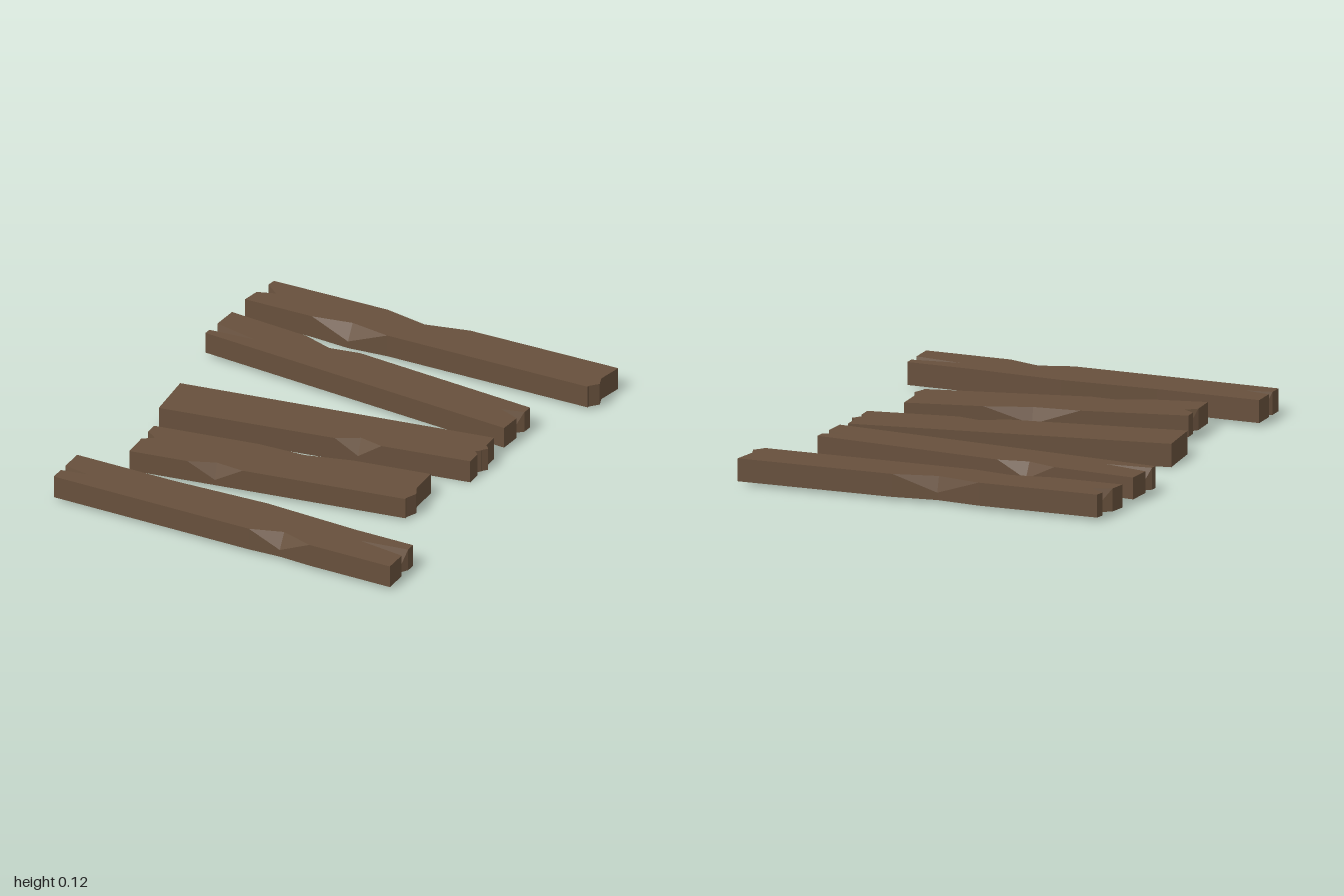
import * as THREE from 'three';

const wood = new THREE.MeshStandardMaterial({ color: 0x67503c });
wood.name = 'weathered brown wood';

// A break in a plank's edge: at = place along the edge and half = half its length (both 0 to 1),
// cut = how far the whole edge moves inward, reach = how far the chip runs on over the top face
const chip = (at, half, cut, reach) => ({ at, half, cut, reach });
const CHIP_DEPTH = 0.07;

// Walk round the four edges (back, right, front, left), adding three points for each break
function plankRings(corners, edges, bottom, top, slope) {
  const low = [], rim = [], high = [];
  const add = (p, inward, cut, reach) => {
    const side = p.clone().addScaledVector(inward, cut);
    const face = side.clone().addScaledVector(inward, reach);
    const at = (q, y) => new THREE.Vector3(q.x, y + slope * q.x, q.y);
    low.push(at(side, bottom));
    rim.push(at(side, reach > 0 ? top - CHIP_DEPTH : top));
    high.push(at(face, top));
  };
  edges.forEach((chips, i) => {
    const start = new THREE.Vector2(...corners[i]);
    const end = new THREE.Vector2(...corners[(i + 1) % 4]);
    const along = end.clone().sub(start).normalize();
    const inward = new THREE.Vector2(-along.y, along.x);
    const place = (t) => start.clone().lerp(end, t);
    add(start, inward, 0, 0);
    for (const { at, half, cut, reach } of chips) {
      add(place(at - half), inward, 0, 0);
      add(place(at), inward, cut, reach);
      add(place(at + half), inward, 0, 0);
    }
  });
  return { low, rim, high };
}

function plankGeometry({ low, rim, high }) {
  const positions = [];
  const triangle = (a, b, c) => {
    if (new THREE.Triangle(a, b, c).getArea() < 1e-8) return;
    for (const p of [a, b, c]) positions.push(p.x, p.y, p.z);
  };
  const band = (lower, upper) => lower.forEach((p, i) => {
    const j = (i + 1) % lower.length;
    triangle(p, upper[i], upper[j]);
    triangle(p, upper[j], lower[j]);
  });
  const cap = (ring, up) => {
    const flat = ring.map((p) => new THREE.Vector2(p.x, p.z));
    for (const [a, b, c] of THREE.ShapeUtils.triangulateShape(flat, [])) {
      const facesDown = THREE.ShapeUtils.area([flat[a], flat[b], flat[c]]) > 0;
      if (facesDown === up) triangle(ring[a], ring[c], ring[b]);
      else triangle(ring[a], ring[b], ring[c]);
    }
  };
  band(low, rim); // walls
  band(rim, high); // broken facets
  cap(high, true);
  cap(low, false);

  const geometry = new THREE.BufferGeometry();
  geometry.setAttribute('position', new THREE.Float32BufferAttribute(positions, 3));
  geometry.computeVertexNormals();
  return geometry;
}

export function createModel() {
  const group = new THREE.Group();
  group.name = 'woodenPlanks';

  const addPlank = (name, bottom, top, slope, corners, ...edges) => {
    const mesh = new THREE.Mesh(plankGeometry(plankRings(corners, edges, bottom, top, slope)), wood);
    mesh.name = name;
    group.add(mesh);
  };

  // Corners are [x, z]: back left, back right, front right, front left
  addPlank('backPlank', 0.015, 0.118, 0,
    [[-0.8, -1], [0.875, -0.995], [0.83, -0.79], [-0.84, -0.8]],
    [chip(0.45, 0.12, 0.022, 0.02)],
    [chip(0.75, 0.2, -0.025, 0)],
    [chip(0.695, 0.11, -0.015, 0.045)],
    [chip(0.6, 0.2, 0.045, 0.03)]);

  addPlank('secondPlank', 0.02, 0.118, 0,
    [[-0.84, -0.675], [0.69, -0.515], [0.67, -0.305], [-0.86, -0.46]],
    [chip(0.34, 0.09, 0, 0.035)],
    [chip(0.37, 0.15, 0.03, 0.07)],
    [],
    [chip(0.3, 0.15, 0.03, 0.18)]);

  addPlank('middlePlank', 0, 0.105, 0,
    [[-0.77, -0.04], [0.66, -0.23], [0.66, 0], [-0.755, 0.195]],
    [],
    [chip(0.42, 0.1, -0.02, 0), chip(0.62, 0.08, 0.02, 0)],
    [chip(0.36, 0.075, 0, 0.04)],
    []);

  addPlank('fourthPlank', 0.018, 0.114, -0.012,
    [[-0.69, 0.37], [0.56, 0.18], [0.56, 0.425], [-0.685, 0.615]],
    [chip(0.55, 0.17, 0, 0.025)],
    [chip(0.75, 0.2, -0.022, 0)],
    [chip(0.69, 0.1, 0, 0.03)],
    [chip(0.63, 0.14, 0.03, 0.02)]);

  addPlank('frontPlank', 0.015, 0.118, 0,
    [[-0.875, 0.74], [0.78, 0.785], [0.775, 0.997], [-0.88, 0.955]],
    [chip(0.56, 0.27, -0.02, 0)],
    [chip(0.35, 0.14, 0.02, 0.2)],
    [chip(0.33, 0.09, 0.008, 0.04)],
    [chip(0.4, 0.1, 0.03, 0.09)]);

  return group;
}
